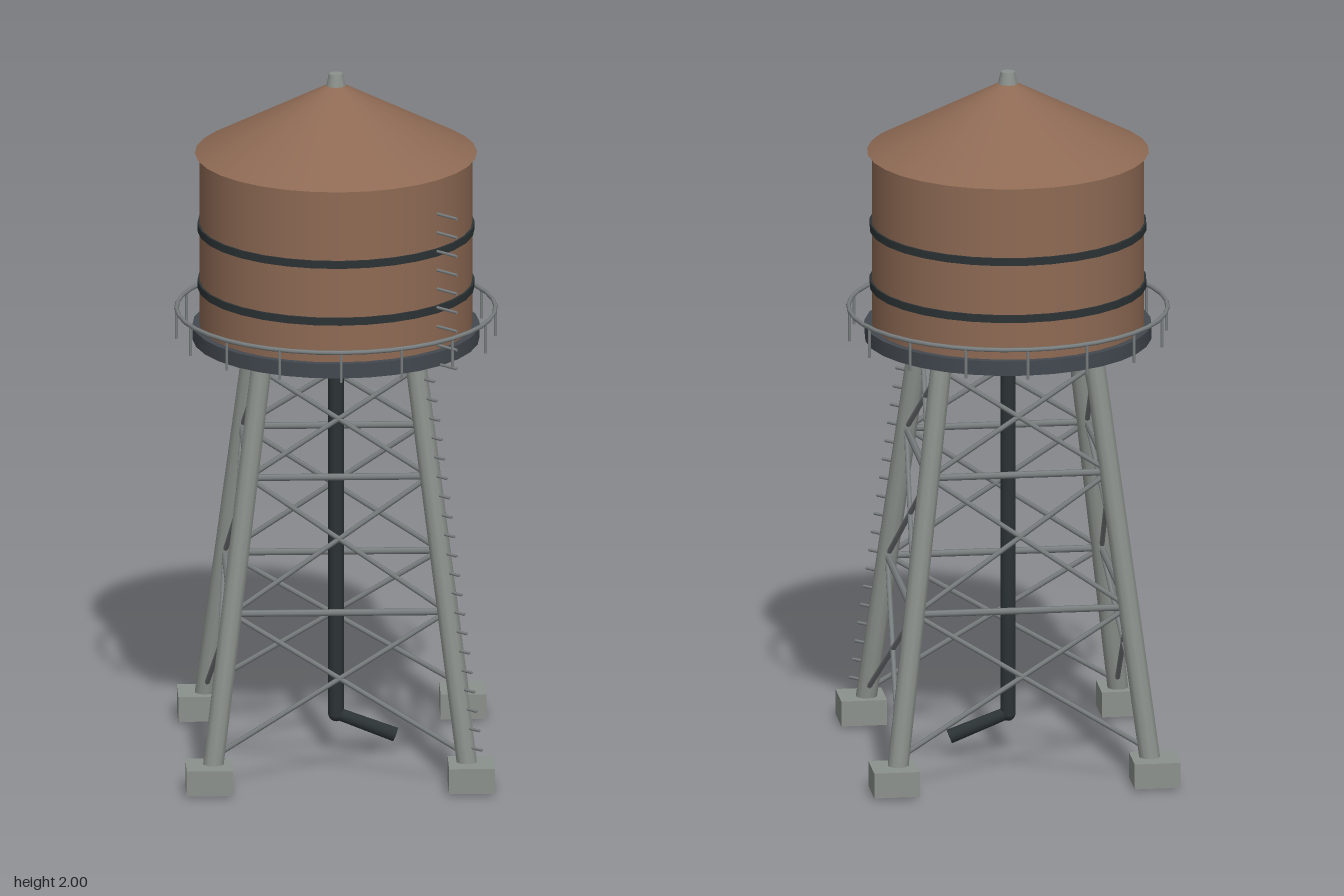
import * as THREE from 'three';

const mat = (name, color) => {
  const m = new THREE.MeshStandardMaterial({ color });
  m.name = name;
  return m;
};

export function createModel() {
  const wood = mat('brown wood', 0x8e6a54);
  const steel = mat('pale steel', 0x8b918c);
  const rail = mat('grey steel', 0x7a7f80);
  const iron = mat('dark iron', 0x2c3335);
  const deck = mat('slate deck', 0x434950);

  const model = new THREE.Group();
  model.name = 'waterTower';
  const V = (x, y, z) => new THREE.Vector3(x, y, z);

  const add = (name, geometry, material, parent = model) => {
    const mesh = new THREE.Mesh(geometry, material);
    mesh.name = name;
    parent.add(mesh);
    return mesh;
  };
  const group = (name) => {
    const g = new THREE.Group();
    g.name = name;
    model.add(g);
    return g;
  };
  // Upright drum between two heights
  const drum = (name, rTop, rBottom, y0, y1, sides, material) => {
    const m = add(name, new THREE.CylinderGeometry(rTop, rBottom, y1 - y0, sides), material);
    m.position.y = (y0 + y1) / 2;
    return m;
  };
  // Round bar from a to b
  const bar = (name, a, b, r, sides, material, parent, rEnd = r) => {
    const d = b.clone().sub(a);
    const m = add(name, new THREE.CylinderGeometry(rEnd, r, d.length(), sides), material, parent);
    m.position.copy(a).add(b).multiplyScalar(0.5);
    m.quaternion.setFromUnitVectors(V(0, 1, 0), d.normalize());
    return m;
  };

  // Tank, hoops, roof and deck
  drum('deck', 0.405, 0.405, 1.223, 1.265, 32, deck);
  drum('tank', 0.385, 0.385, 1.265, 1.768, 32, wood);
  for (const y of [1.385, 1.552]) drum('hoop', 0.391, 0.391, y - 0.011, y + 0.011, 32, iron);
  drum('roof', 0, 0.398, 1.768, 1.98, 32, wood);
  drum('finial', 0.02, 0.03, 1.958, 2.0, 10, steel);

  // Guard rail with posts
  const railing = group('railing');
  const ring = add('handrail', new THREE.TorusGeometry(0.45, 0.0065, 6, 40), rail, railing);
  ring.rotation.x = Math.PI / 2;
  ring.position.y = 1.312;
  for (let i = 0; i < 16; i++) {
    const a = (i / 16) * Math.PI * 2;
    const x = 0.45 * Math.cos(a), z = 0.45 * Math.sin(a);
    bar('railPost', V(x, 1.225, z), V(x, 1.312, z), 0.0045, 6, rail, railing);
  }

  // Leaning legs on square footings; spread gives the leg offset at a height
  const spread = (y) => 0.367 - 0.124 * y;
  const corners = [[1, 1], [1, -1], [-1, -1], [-1, 1]];
  const at = ([sx, sz], y) => V(sx * spread(y), y, sz * spread(y));
  const legs = group('legs');
  for (const c of corners) {
    bar('leg', at(c, 0.005), at(c, 1.225), 0.03, 10, steel, legs);
    const foot = add('footing', new THREE.BoxGeometry(0.13, 0.073, 0.13), steel, legs);
    foot.position.set(c[0] * 0.37, 0.0435, c[1] * 0.37);
  }

  // Horizontal struts and crossed braces on all four sides
  const bracing = group('bracing');
  const levels = [0.1, 0.505, 0.89, 1.195];
  corners.forEach((a, k) => {
    const b = corners[(k + 1) % 4];
    levels.forEach((y, i) => {
      if (i === 0) return;
      bar('strut', at(a, y), at(b, y), 0.01, 6, rail, bracing);
      const low = levels[i - 1];
      bar('crossBrace', at(a, low), at(b, y), 0.0075, 6, rail, bracing);
      bar('crossBrace', at(b, low), at(a, y), 0.0075, 6, rail, bracing);
    });
  });

  // Central pipe and angled spout
  drum('downPipe', 0.022, 0.022, 0.115, 1.225, 12, iron);
  add('pipeElbow', new THREE.SphereGeometry(0.022, 12, 8), iron).position.y = 0.118;
  bar('spout', V(0, 0.12, 0), V(0.167, 0.055, 0), 0.018, 12, iron, model, 0.021);

  // Climbing rungs up the front left leg and the tank wall
  const rungs = group('rungs');
  for (let i = 0; i < 29; i++) {
    const y = 0.124 + i * 0.0551;
    const x = y < 1.22 ? spread(y) - 0.006 : 0.277;
    bar('rung', V(x, y, x), V(x + 0.053, y, x + 0.053), 0.0045, 6, rail, rungs);
  }

  return model;
}
